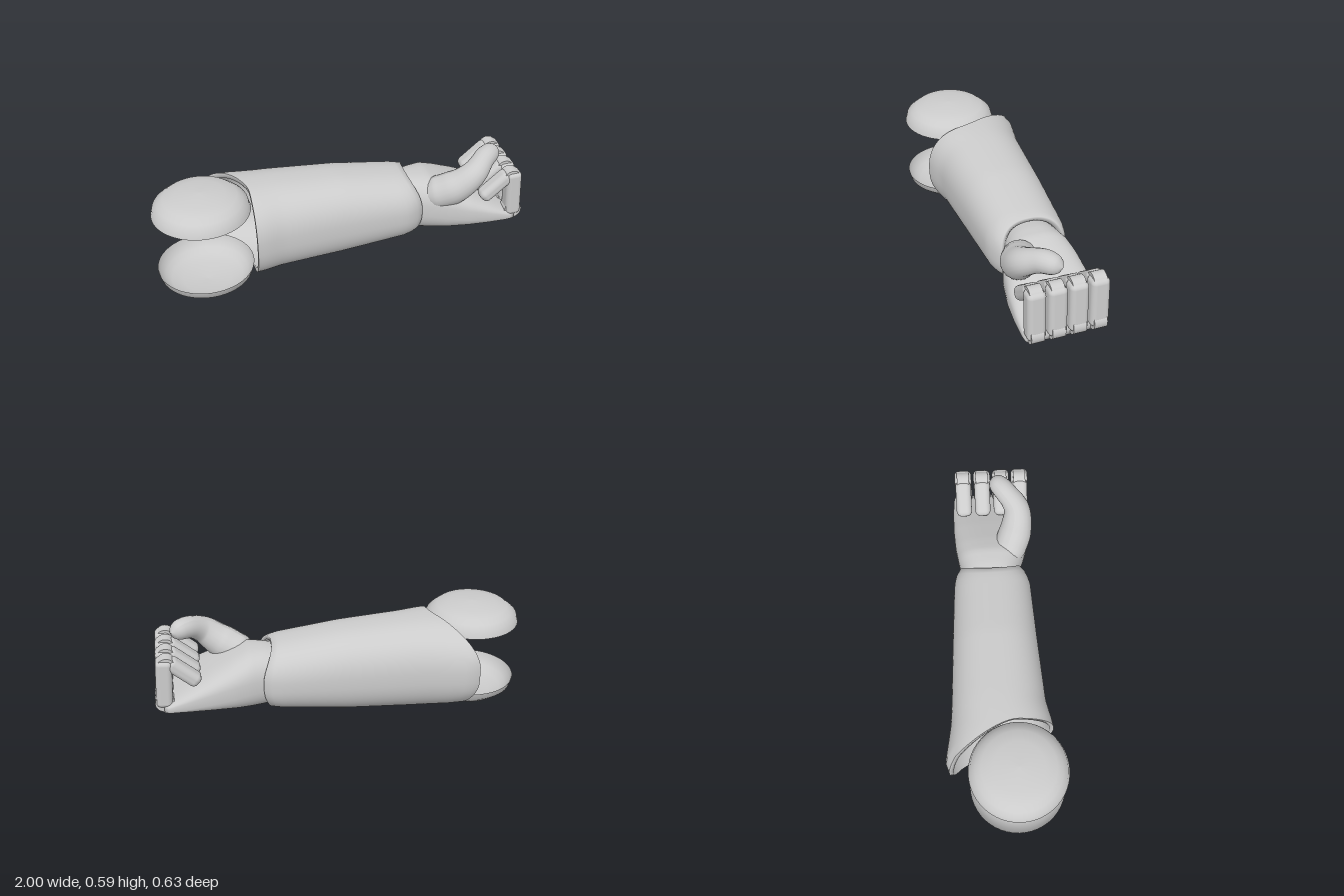
import * as THREE from 'three';
import { RoundedBoxGeometry } from 'three/addons/geometries/RoundedBoxGeometry.js';

const grey = new THREE.MeshStandardMaterial({ color: 0xcccccc, side: THREE.DoubleSide });

function add(parent, name, geometry, x = 0, y = 0, z = 0) {
  const mesh = new THREE.Mesh(geometry, grey);
  mesh.name = name;
  mesh.position.set(x, y, z);
  parent.add(mesh);
  return mesh;
}

// Linear lookup in rows of [key, a, b, ...]
function lookup(rows, k) {
  if (k <= rows[0][0]) return rows[0].slice(1);
  for (let i = 1; i < rows.length; i++) {
    const [p, q] = [rows[i - 1], rows[i]];
    if (k <= q[0]) {
      const t = (k - p[0]) / (q[0] - p[0]);
      return p.slice(1).map((v, j) => v + (q[j + 1] - v) * t);
    }
  }
  return rows[rows.length - 1].slice(1);
}

// Rounded-square outline in the y-z plane for [yMin, yMax, zMin, zMax]
function outline([y0, y1, z0, z1], angle, power, inset = 0) {
  const c = Math.cos(angle), s = Math.sin(angle), e = 2 / power;
  const y = (y0 + y1) / 2 + Math.sign(s) * Math.abs(s) ** e * ((y1 - y0) / 2 - inset);
  const z = (z0 + z1) / 2 + Math.sign(c) * Math.abs(c) ** e * ((z1 - z0) / 2 - inset);
  return [y, z];
}

// Skin over a grid of points; at(row, angle) returns [x, y, z]
function skin(rows, around, at) {
  const pos = [], index = [];
  for (let r = 0; r <= rows; r++)
    for (let a = 0; a < around; a++) pos.push(...at(r, (a / around) * Math.PI * 2));
  for (let r = 0; r < rows; r++)
    for (let a = 0; a < around; a++) {
      const b = (a + 1) % around, p = r * around, q = p + around;
      index.push(p + a, p + b, q + a, p + b, q + b, q + a);
    }
  const g = new THREE.BufferGeometry();
  g.setAttribute('position', new THREE.Float32BufferAttribute(pos, 3));
  g.setIndex(index);
  g.computeVertexNormals();
  return g;
}

// Forearm limits: x, yMin, yMax, zMin, zMax
const ARM = [
  [-0.7, 0.06, 0.52, -0.30, 0.25], [-0.65, 0.05, 0.53, -0.318, 0.26],
  [-0.55, 0.037, 0.54, -0.30, 0.265], [-0.45, 0.037, 0.54, -0.283, 0.25],
  [-0.35, 0.042, 0.537, -0.276, 0.225], [0, 0.062, 0.518, -0.26, 0.2],
  [0.34, 0.1, 0.475, -0.242, 0.18], [0.39, 0.11, 0.462, -0.232, 0.165], [0.44, 0.12, 0.445, -0.205, 0.13],
];

// Hollow sleeve: scooped around the elbow, saddle-shaped at the wrist
function sleeve() {
  const n = 28;
  return skin(2 * n + 2, 72, (r, a) => {
    const inner = r > n;
    const t = inner ? Math.min(1, (2 * n + 1 - r) / n) : r / n;
    const z0 = outline([0, 1, -0.315, 0.265], a, 2.4)[1];
    const elbow = -0.49 - 0.21 * Math.min(1, Math.max(0, 0.06 - z0) / 0.37) ** 1.6;
    const wrist = 0.375 + 0.06 * Math.cos(a) ** 2;
    const x = elbow + (wrist - elbow) * Math.max(0, t);
    const [y, z] = outline(lookup(ARM, x), a, 2.4, inner && r < 2 * n + 2 ? 0.022 : 0);
    return [x, y, z];
  });
}

// Palm limits: x, yMin, yMax, zMin, zMax
const PALM = [
  [0.33, 0.15, 0.43, -0.18, 0.1], [0.42, 0.125, 0.445, -0.195, 0.12],
  [0.5, 0.126, 0.445, -0.215, 0.15], [0.58, 0.132, 0.415, -0.228, 0.175],
  [0.7, 0.147, 0.36, -0.236, 0.195], [0.82, 0.162, 0.3, -0.236, 0.2],
  [0.92, 0.175, 0.25, -0.232, 0.197], [0.95, 0.183, 0.235, -0.225, 0.19],
];

function palm() {
  const n = 30;
  return skin(n + 2, 48, (r, a) => {
    const i = Math.min(n, Math.max(0, r - 1));
    const x = 0.33 + 0.62 * (i / n);
    const box = lookup(PALM, x);
    if (r === 0 || r === n + 2) return [x, (box[0] + box[1]) / 2, (box[2] + box[3]) / 2];
    return [x, ...outline(box, a, 2.3 + (i / n) * 1.2)];
  });
}

// Tube whose radius follows a table of [position, radius]
function taperedTube(points, radii, segments = 36) {
  const curve = new THREE.CatmullRomCurve3(points.map((p) => new THREE.Vector3(...p)));
  const sides = 20, g = new THREE.TubeGeometry(curve, segments, 1, sides);
  const pos = g.attributes.position, v = new THREE.Vector3();
  for (let i = 0; i < pos.count; i++) {
    const u = Math.floor(i / (sides + 1)) / segments;
    const c = curve.getPointAt(u);
    v.fromBufferAttribute(pos, i).sub(c).multiplyScalar(lookup(radii, u)[0]).add(c);
    pos.setXYZ(i, v.x, v.y, v.z);
  }
  g.computeVertexNormals();
  return g;
}

// Curled finger: upright segment, folded tip and round joints
function finger(z) {
  const f = new THREE.Group();
  f.name = 'finger';
  f.position.z = z;
  const upright = add(f, 'fingerSegment', new RoundedBoxGeometry(0.085, 0.27, 0.094, 4, 0.026), 0.94, 0.352, 0);
  upright.rotation.z = 0.06;
  const tip = add(f, 'fingerTip', new RoundedBoxGeometry(0.2, 0.075, 0.086, 4, 0.03), 0.838, 0.404, 0);
  tip.rotation.z = 0.72;
  for (const [x, y, r] of [[0.945, 0.242, 0.05], [0.922, 0.452, 0.048]]) {
    const joint = add(f, 'fingerJoint', new THREE.CylinderGeometry(r, r, 0.066, 24), x, y, 0);
    joint.rotation.x = Math.PI / 2;
  }
  return f;
}

export function createModel() {
  const model = new THREE.Group();
  model.name = 'roboticForearm';

  // Elbow covers: two thin open dishes facing each other
  const dish = [[0.256, 0], [0.245, 0.04], [0.22, 0.062], [0.19, 0.086], [0.13, 0.099], [0.06, 0.107], [0, 0.11]]
    .map(([x, y]) => new THREE.Vector2(x, y));
  add(model, 'upperElbowCover', new THREE.LatheGeometry(dish, 48), -0.744, 0.456, 0.057);
  const lower = add(model, 'lowerElbowCover', new THREE.LatheGeometry(dish, 48), -0.744, 0.114, 0.057);
  lower.rotation.x = Math.PI;

  add(model, 'forearmSleeve', sleeve());

  // Hand
  const hand = new THREE.Group();
  hand.name = 'hand';
  model.add(hand);
  add(hand, 'palm', palm());
  for (let i = 0; i < 4; i++) hand.add(finger(0.145 - i * 0.105));
  add(hand, 'thumb', taperedTube(
    [[0.44, 0.34, 0.03], [0.54, 0.365, 0.075], [0.64, 0.42, 0.115], [0.72, 0.485, 0.12], [0.8, 0.535, 0.06], [0.885, 0.54, -0.01]],
    [[0, 0], [0.06, 0.06], [0.18, 0.09], [0.35, 0.092], [0.5, 0.08], [0.66, 0.066], [0.74, 0.06],
      [0.84, 0.058], [0.91, 0.053], [0.96, 0.04], [0.99, 0.02], [1, 0]]));

  return model;
}
